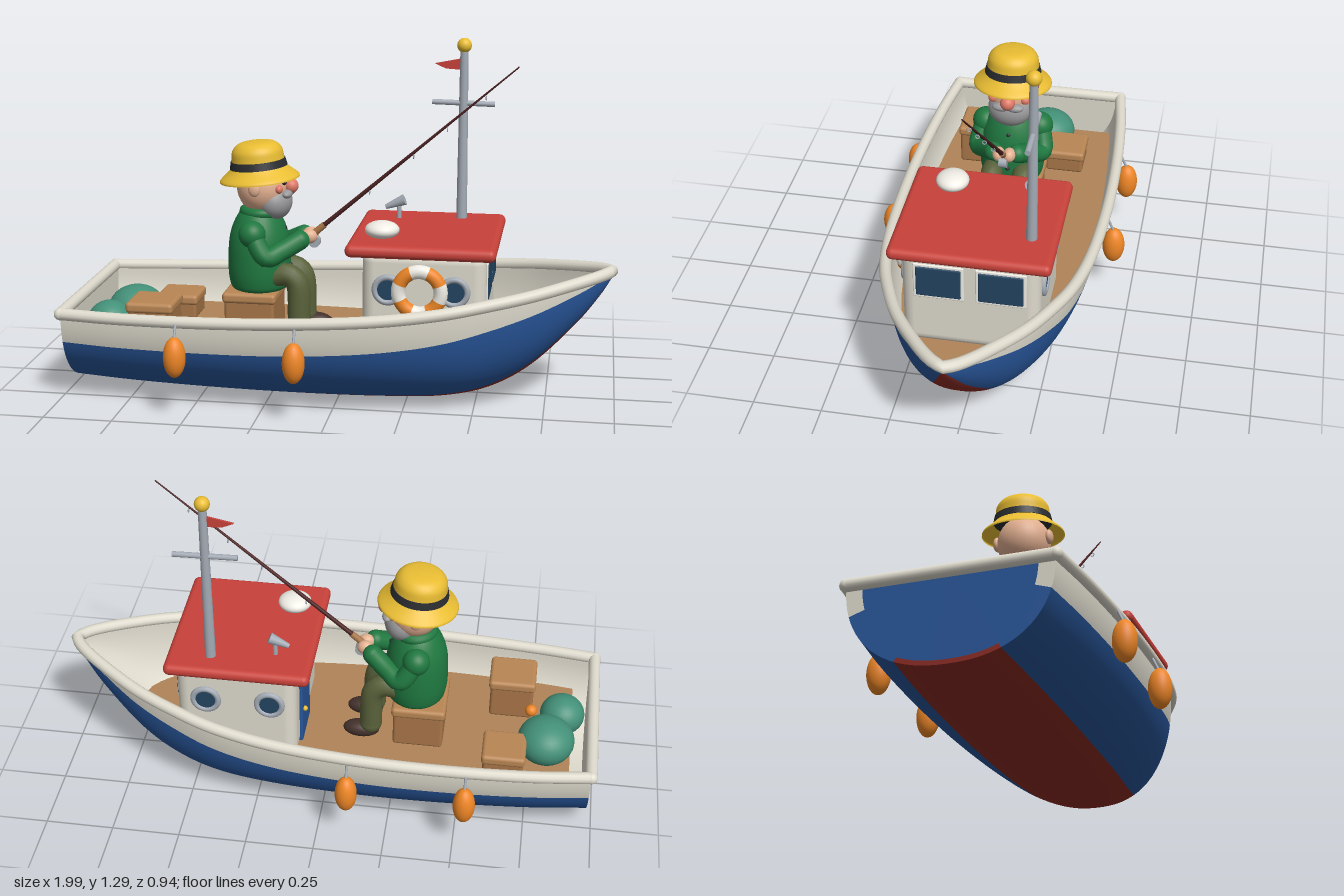
import * as THREE from 'three';
import { RoundedBoxGeometry } from 'three/addons/geometries/RoundedBoxGeometry.js';

const C = {
  cream: 0xdedacd, blue: 0x28569a, keelRed: 0x8c2b23, red: 0xc8423a, orange: 0xee8626, deck: 0xb08458,
  crate: 0xa87648, lid: 0xb98654, yellow: 0xe9bd33, black: 0x2a2c30, green: 0x1f7840, olive: 0x59613a, skin: 0xe3b091,
  beard: 0x9a9a9c, pink: 0xe07a68, metal: 0xa4abb5, teal: 0x439078, glass: 0x234460, shoe: 0x43302a, rod: 0x4a2020, white: 0xeeece4,
};
const V = (x, y, z) => new THREE.Vector3(x, y, z);

export function createModel() {
  const model = new THREE.Group();
  const mats = {};
  const mat = (name) => (mats[name] ??= new THREE.MeshStandardMaterial({ color: C[name] }));
  const thinMat = (name) => (mats['thin' + name] ??= new THREE.MeshStandardMaterial({ color: C[name], side: THREE.DoubleSide }));
  let target = model;
  const add = (name, geo, color, p = [0, 0, 0], r = [0, 0, 0]) => {
    const m = new THREE.Mesh(geo, typeof color === 'string' ? mat(color) : color);
    m.name = name;
    m.position.set(...p);
    m.rotation.set(...r);
    target.add(m);
    return m;
  };
  const group = (name) => {
    target = new THREE.Group();
    target.name = name;
    model.add(target);
    return target;
  };
  const ball = (name, color, p, rx, ry = rx, rz = rx) =>
    add(name, new THREE.SphereGeometry(1, 28, 18), color, p).scale.set(rx, ry, rz);
  const box = (name, color, size, p, r = 0.015) => add(name, new RoundedBoxGeometry(...size, 3, r), color, p);
  const rodBetween = (name, color, a, b, r0, r1 = r0) => {
    const d = b.clone().sub(a);
    const m = add(name, new THREE.CylinderGeometry(r1, r0, d.length(), 16), color);
    m.position.copy(a).addScaledVector(d, 0.5);
    m.quaternion.setFromUnitVectors(V(0, 1, 0), d.normalize());
  };
  const limb = (name, color, pts, r) => {
    add(name, new THREE.TubeGeometry(new THREE.CatmullRomCurve3(pts), 20, r, 14), color);
    for (const p of [pts[0], pts[pts.length - 1]]) ball(name + 'End', color, p.toArray(), r);
  };
  // Surface through equal rows of points
  const sheet = (name, color, rows) => {
    const n = rows[0].length, index = [];
    for (let i = 0; i < rows.length - 1; i++)
      for (let j = 0; j < n - 1; j++) {
        const a = i * n + j;
        index.push(a, a + n, a + 1, a + 1, a + n, a + n + 1);
      }
    const g = new THREE.BufferGeometry().setFromPoints(rows.flat());
    g.setIndex(index);
    g.computeVertexNormals();
    add(name, g, thinMat(color));
  };

  // Hull stations: x, half width, sheer height, keel height
  const stations = [
    [-0.975, 0.345, 0.335, 0.025], [-0.75, 0.372, 0.335, 0.014], [-0.45, 0.39, 0.34, 0.005], [-0.15, 0.392, 0.35, 0],
    [0.15, 0.376, 0.368, 0], [0.38, 0.34, 0.392, 0.008], [0.55, 0.285, 0.417, 0.046], [0.7, 0.218, 0.44, 0.135],
    [0.85, 0.122, 0.465, 0.285], [0.935, 0.055, 0.479, 0.395], [0.975, 0.004, 0.485, 0.46],
  ];
  const sheer = new THREE.CatmullRomCurve3(stations.map(([x, w, s]) => V(x, s, w)), false, 'catmullrom');
  const keel = new THREE.CatmullRomCurve3(stations.map(([x, , , k]) => V(x, k, 0)), false, 'catmullrom');
  const P = 2.3, N = 60;
  const section = (u, t, inset = 0) => {
    const s = sheer.getPoint(u), k = keel.getPoint(u).y + inset;
    const w = Math.max(s.z - inset, 0.002);
    const z = w * Math.sign(t) * Math.pow(Math.abs(Math.sin(t)), 2 / P);
    return V(s.x, s.y - (s.y - k) * Math.pow(Math.max(Math.cos(t), 0), 2 / P), z);
  };
  const us = Array.from({ length: N + 1 }, (_, i) => i / N);
  const span = (a, b, n) => Array.from({ length: n + 1 }, (_, i) => a + ((b - a) * i) / n);
  const tRed = () => 0.47;
  const tBlue = (u) => 1.265 + 0.11 * THREE.MathUtils.smoothstep(u, 0.25, 0.7);
  const top = () => Math.PI / 2;
  const neg = (f) => (u) => -f(u);

  group('hull');
  const bands = [
    ['bottomPaint', 'keelRed', neg(tRed), tRed, 0.95],
    ['bluePlanking', 'blue', tRed, tBlue, 0.9], ['bluePlanking', 'blue', neg(tBlue), neg(tRed), 0.9],
    ['whiteTopside', 'cream', tBlue, top, 0.84], ['whiteTopside', 'cream', neg(top), neg(tBlue), 0.84],
  ];
  for (const [name, color, a, b, k] of bands) {
    sheet(name, color, us.map((u) => span(a(u), b(u), 16).map((t) => section(u, t))));
    // Matching border on the flat stern
    const edge = span(a(0), b(0), 16).map((t) => section(0, t));
    const centre = V(-0.975, 0.335, 0);
    const inner = edge.map((p) => p.clone().lerp(centre, 1 - k));
    sheet('transomBorder', color, [inner, edge]);
    sheet('transom', 'blue', [inner.map(() => centre), inner]);
  }
  const inside = us.map((u) => span(-Math.PI / 2, Math.PI / 2, 40).map((t) => section(u, t, 0.018)));
  sheet('innerHull', 'cream', inside);
  sheet('innerTransom', 'cream', [inside[0], inside[0].map(() => V(0, 0.335, 0))].map((r) => r.map((p) => V(-0.96, p.y, p.z))));

  // Deck follows the inside of the hull at a fixed height
  const deckY = 0.2;
  const deckRows = us.map((u) => {
    const s = sheer.getPoint(u), k = keel.getPoint(u).y + 0.018;
    const f = Math.min(Math.max((deckY - k) / (s.y - k), 0), 1);
    const w = (s.z - 0.018) * Math.pow(1 - Math.pow(1 - f, P), 1 / P);
    return span(-w, w, 6).map((z) => V(s.x, deckY, z));
  }).filter((r) => r[0].x > -0.93 && r[0].x < 0.79);
  sheet('deck', 'deck', deckRows);

  // Rounded rail around the gunwale
  const side = sheer.getPoints(40);
  const railPath = [...side, ...side.slice(0, -1).reverse().map((p) => V(p.x, p.y, -p.z))];
  add('gunwaleRail', new THREE.TubeGeometry(new THREE.CatmullRomCurve3(railPath), 160, 0.022, 12), 'cream');
  rodBetween('sternRail', 'cream', V(-0.975, 0.335, -0.345), V(-0.975, 0.335, 0.345), 0.022);
  for (const s of [-1, 1]) ball('railCorner', 'cream', [-0.975, 0.335, s * 0.345], 0.0225);

  group('fenders');
  for (const s of [-1, 1])
    for (const x of [-0.535, -0.11]) {
      ball('fender', 'orange', [x, 0.222, s * 0.428], 0.04, 0.074, 0.042);
      rodBetween('fenderRope', 'metal', V(x, 0.29, s * 0.425), V(x, 0.345, s * 0.4), 0.005);
    }

  group('cabin');
  box('cabinWalls', 'cream', [0.44, 0.4, 0.49], [0.32, 0.39, 0], 0.045);
  box('cabinRoof', 'red', [0.53, 0.046, 0.575], [0.31, 0.592, 0], 0.022);
  for (const s of [-1, 1]) {
    box('windshieldFrame', 'white', [0.012, 0.145, 0.18], [0.538, 0.475, s * 0.11], 0.005);
    box('windshield', 'glass', [0.016, 0.125, 0.16], [0.54, 0.475, s * 0.11], 0.006);
    for (const x of [0.195, 0.43]) {
      add('portholeRim', new THREE.TorusGeometry(0.046, 0.011, 12, 32), 'metal', [x, 0.45, s * 0.247]);
      add('portholeGlass', new THREE.CylinderGeometry(0.044, 0.044, 0.012, 32), 'glass', [x, 0.45, s * 0.246], [Math.PI / 2, 0, 0]);
    }
  }
  box('door', 'blue', [0.018, 0.28, 0.17], [0.097, 0.35, -0.07], 0.007);
  ball('doorKnob', 'yellow', [0.083, 0.35, -0.13], 0.01);
  // Lifebuoy in eight alternating arcs
  for (let i = 0; i < 8; i++)
    add('lifebuoy', new THREE.TorusGeometry(0.075, 0.025, 14, 10, Math.PI / 4), i % 2 ? 'white' : 'orange',
      [0.31, 0.452, 0.272], [0, 0, (i * Math.PI) / 4 + Math.PI / 8]);
  ball('radarDome', 'white', [0.16, 0.64, 0.135], 0.062, 0.032, 0.06);
  rodBetween('hornStand', 'metal', V(0.185, 0.61, -0.155), V(0.185, 0.665, -0.155), 0.009);
  rodBetween('horn', 'metal', V(0.135, 0.655, -0.155), V(0.205, 0.685, -0.155), 0.009, 0.021);

  group('mast');
  rodBetween('mastPole', 'metal', V(0.415, 0.6, -0.195), V(0.415, 1.25, -0.195), 0.02, 0.015);
  rodBetween('crossbar', 'metal', V(0.3, 1.05, -0.195), V(0.53, 1.045, -0.195), 0.01);
  ball('mastBall', 'yellow', [0.415, 1.26, -0.195], 0.027);
  const flag = new THREE.Shape([[0, 0.022], [-0.1, 0.002], [-0.06, -0.016], [0, -0.02]].map((p) => new THREE.Vector2(...p)));
  add('flag', new THREE.ExtrudeGeometry(flag, { depth: 0.008, bevelEnabled: false }), 'red', [0.408, 1.19, -0.199]);

  group('cargo');
  const crate = (name, x, z, w, d, h) => {
    box(name, 'crate', [w * 0.93, h, d * 0.93], [x, deckY + h / 2, z], 0.012);
    box(name + 'Lid', 'lid', [w, 0.04, d], [x, deckY + h - 0.015, z], 0.014);
  };
  crate('seatCrate', -0.335, 0, 0.2, 0.24, 0.168);
  crate('tallCrate', -0.67, 0.185, 0.175, 0.17, 0.16);
  crate('lowCrate', -0.66, -0.165, 0.16, 0.16, 0.09);
  ball('netPile', 'teal', [-0.81, 0.25, -0.065], 0.106, 0.085, 0.11);
  ball('netPile', 'teal', [-0.865, 0.245, 0.1], 0.084, 0.075, 0.084);
  ball('netFloat', 'orange', [-0.747, 0.285, 0.055], 0.022);

  group('fisherman');
  const lathe = (pts) => new THREE.LatheGeometry(
    new THREE.SplineCurve(pts.map((p) => new THREE.Vector2(...p))).getPoints(40).map((p) => p.setX(Math.max(p.x, 0))), 40);
  add('jacket', lathe([[0, 0.37], [0.09, 0.37], [0.112, 0.41], [0.115, 0.5], [0.106, 0.58], [0.08, 0.645], [0.05, 0.675], [0, 0.68]]),
    'green', [-0.315, 0, 0]).scale.z = 1.08;
  add('collar', new THREE.TorusGeometry(0.062, 0.02, 12, 32), 'green', [-0.305, 0.662, 0], [Math.PI / 2, 0, 0]);
  for (const y of [0.46, 0.53, 0.6]) ball('button', 'black', [-0.2 - (y > 0.55 ? 0.02 : 0), y, 0], 0.009);
  ball('head', 'skin', [-0.3, 0.752, 0], 0.095, 0.1, 0.095);
  ball('beard', 'beard', [-0.257, 0.7, 0], 0.066, 0.07, 0.084);
  ball('nose', 'pink', [-0.195, 0.758, 0], 0.028);
  for (const s of [-1, 1]) {
    ball('moustache', 'beard', [-0.205, 0.733, s * 0.026], 0.02, 0.016, 0.034);
    ball('ear', 'skin', [-0.312, 0.76, s * 0.097], 0.022, 0.027, 0.014);
    ball('eye', 'black', [-0.213, 0.783, s * 0.036], 0.01, 0.016, 0.012);
    ball('eyebrow', 'beard', [-0.213, 0.812, s * 0.038], 0.012, 0.008, 0.024);
    ball('cheek', 'pink', [-0.228, 0.756, s * 0.06], 0.014, 0.016, 0.018);
    ball('shoulder', 'green', [-0.32, 0.595, s * 0.105], 0.05);
    limb('sleeve', 'green', [V(-0.32, 0.595, s * 0.11), V(-0.265, 0.515, s * 0.125), V(-0.22, 0.53, s * 0.09), V(-0.155, 0.565, s * 0.045)], 0.036);
    ball('hand', 'skin', [-0.125, 0.575, s * 0.02], 0.03, 0.027, 0.024);
    limb('trouserLeg', 'olive', [V(-0.3, 0.415, s * 0.055), V(-0.2, 0.437, s * 0.06), V(-0.165, 0.41, s * 0.062), V(-0.155, 0.26, s * 0.065)], 0.042);
    ball('shoe', 'shoe', [-0.12, 0.228, s * 0.066], 0.068, 0.032, 0.037);
  }

  // Tilted brimmed hat
  const hat = group('hat');
  hat.position.set(-0.313, 0.808, 0);
  hat.rotation.z = 0.09;
  add('hatShape', lathe([[0.147, -0.028], [0.143, -0.018], [0.115, 0.006], [0.1, 0.024], [0.097, 0.05], [0.09, 0.084], [0.062, 0.108], [0, 0.115]]), thinMat('yellow'));
  add('hatBand', new THREE.CylinderGeometry(0.1, 0.106, 0.027, 40), 'black', [0, 0.032, 0]);

  group('fishingRod');
  const start = V(-0.175, 0.527, 0), tip = V(0.625, 1.213, 0);
  const at = (f) => start.clone().lerp(tip, f);
  rodBetween('rodHandle', 'crate', start, at(0.13), 0.014, 0.012);
  rodBetween('rodPole', 'rod', at(0.08), tip, 0.009, 0.0025);
  add('reel', new THREE.CylinderGeometry(0.022, 0.022, 0.03, 20), 'metal', [-0.108, 0.553, 0], [Math.PI / 2, 0, 0]);
  for (const f of [0.33, 0.53, 0.68, 0.85]) {
    const p = at(f);
    add('lineGuide', new THREE.TorusGeometry(0.007, 0.002, 6, 16), 'metal', [p.x + 0.006, p.y - 0.01, 0], [0, Math.PI / 2, 0]);
  }
  return model;
}
